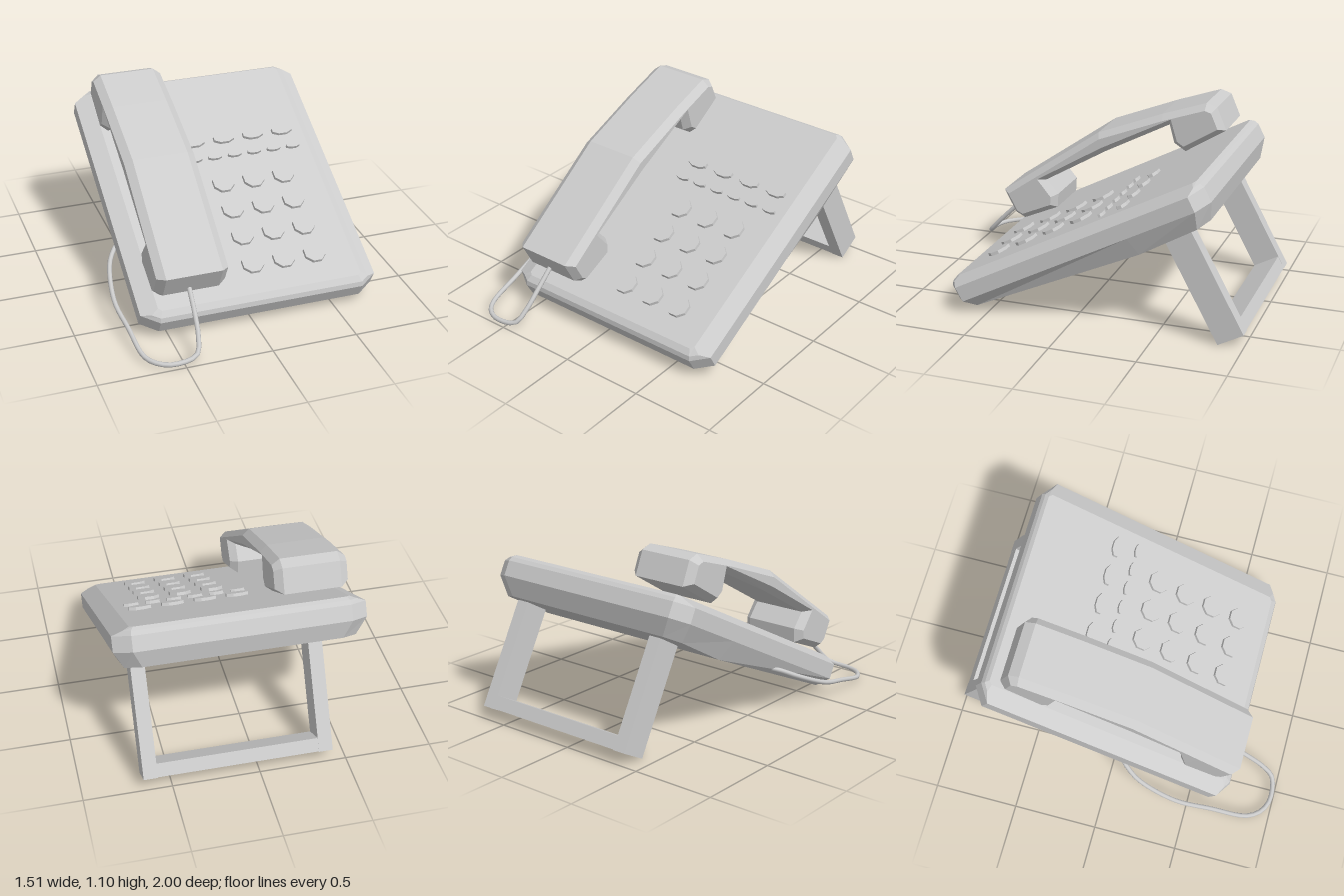
import * as THREE from 'three';

const mat = new THREE.MeshStandardMaterial({ color: 0xcccccc, flatShading: true });
const cordMat = new THREE.MeshStandardMaterial({ color: 0xcccccc });
const TILT = 0.48; // slope of the desk set

function add(parent, name, geometry, x = 0, y = 0, z = 0, material = mat) {
  const mesh = new THREE.Mesh(geometry, material);
  mesh.name = name;
  mesh.position.set(x, y, z);
  parent.add(mesh);
  return mesh;
}

// Cut-corner rectangle of ten points, counter-clockwise from above
function ring(half, front, back, cutX, cutZ, height) {
  const right = [
    [half - cutX, front], [half, front - cutZ], [half, -0.594], [half, back + cutZ], [half - cutX, back],
  ].map(([x, z]) => [x, height(z), z]);
  return [...right, ...right.map(([x, y, z]) => [-x, y, z]).reverse()];
}

// Skin stacked rings and close both ends with strips across the width
function loft(rings) {
  const n = rings[0].length, pos = rings.flat(2), idx = [];
  const top = (rings.length - 1) * n;
  for (let r = 0; r < rings.length - 1; r++) {
    for (let i = 0; i < n; i++) {
      const j = (i + 1) % n, a = r * n, b = a + n;
      idx.push(a + i, a + j, b + j, a + i, b + j, b + i);
    }
  }
  for (let i = 0; i < n / 2 - 1; i++) {
    const p = i + 1, q = n - 2 - i, m = n - 1 - i;
    idx.push(top + i, top + p, top + q, top + i, top + q, top + m);
    idx.push(i, q, p, i, m, q);
  }
  const g = new THREE.BufferGeometry();
  g.setAttribute('position', new THREE.Float32BufferAttribute(pos, 3));
  g.setIndex(idx);
  const flat = g.toNonIndexed();
  flat.computeVertexNormals();
  return flat;
}

// Low octagonal button with flat sides facing the axes
function button(parent, name, x, s, halfW, halfD) {
  const g = new THREE.CylinderGeometry(1, 1.04, 0.026, 8);
  g.rotateY(Math.PI / 8);
  g.scale(halfW / Math.cos(Math.PI / 8), 1, halfD / Math.cos(Math.PI / 8));
  add(parent, name, g, x, 0.5, -s);
}

function makeBase() {
  const base = new THREE.Group();
  base.name = 'base';
  base.rotation.x = TILT;
  // underside has a shallow kink toward the back
  const under = z => (z > -0.594
    ? 0.243 + 0.06 * (z + 0.594) / 1.124
    : 0.243 + 0.019 * (-0.594 - z) / 0.43);
  add(base, 'baseShell', loft([
    ring(0.65, 0.53, -1.025, 0.09, 0.06, under),
    ring(0.7075, 0.58, -1.09, 0.1, 0.07, () => 0.362),
    ring(0.7075, 0.583, -1.09, 0.1, 0.07, () => 0.452),
    ring(0.65, 0.567, -1.078, 0.045, 0.03, () => 0.477),
    ring(0.61, 0.53, -1.06, 0.02, 0.02, () => 0.495),
  ]), 0.0475);

  // number keys
  for (const s of [0.24, 0.05, -0.14, -0.335]) {
    for (const x of [0.05, 0.24, 0.43]) button(base, 'numberKey', x, s, 0.061, 0.061);
  }
  // two rows of function keys
  for (let i = 0; i < 4; i++) button(base, 'largeFunctionKey', -0.038 + i * 0.188, 0.56, 0.062, 0.032);
  for (let i = 0; i < 6; i++) button(base, 'smallFunctionKey', -0.067 + i * 0.125, 0.432, 0.041, 0.016);
  return base;
}

// Handset side profile as [z, y], extruded across the width with a chamfer
function makeHandset() {
  const profile = [
    [0.764, 0.426], [0.142, 0.86], [-0.26, 1.016], [-0.528, 1.107], [-0.592, 1.086],
    [-0.65, 0.952], [-0.405, 0.8], [-0.335, 0.845], [-0.305, 0.955], [0.094, 0.748],
    [0.48, 0.523], [0.405, 0.437], [0.41, 0.351], [0.63, 0.255], [0.69, 0.287],
  ];
  const shape = new THREE.Shape(profile.map(([z, y]) => new THREE.Vector2(-z, y)));
  const g = new THREE.ExtrudeGeometry(shape, {
    depth: 0.325, bevelEnabled: true, bevelSegments: 1,
    bevelThickness: 0.045, bevelSize: 0.034, bevelOffset: -0.034,
  });
  g.rotateY(Math.PI / 2);
  g.translate(-0.535, 0, 0);
  return g;
}

// Two legs joined by a crossbar at the foot
function makeStand() {
  const stand = new THREE.Group();
  stand.name = 'stand';
  stand.position.set(0, 0.043, -0.9275);
  stand.rotation.x = 0.497;
  for (const x of [-0.38, 0.62]) add(stand, 'standLeg', new THREE.BoxGeometry(0.08, 0.7, 0.165), x, 0.35, 0);
  add(stand, 'standCrossbar', new THREE.BoxGeometry(0.92, 0.078, 0.163), 0.12, 0.042, 0);
  return stand;
}

export function createModel() {
  const model = new THREE.Group();
  model.name = 'deskTelephone';
  model.add(makeBase(), makeStand());
  add(model, 'handset', makeHandset());

  // cord loops from the mouthpiece round to the side of the base
  const path = new THREE.CatmullRomCurve3([
    [-0.385, 0.34, 0.67], [-0.39, 0.21, 0.81], [-0.4, 0.12, 0.9], [-0.43, 0.05, 0.965],
    [-0.56, 0.03, 0.985], [-0.645, 0.03, 0.95], [-0.7, 0.035, 0.87], [-0.725, 0.085, 0.65],
    [-0.745, 0.14, 0.43], [-0.705, 0.24, 0.195], [-0.655, 0.285, 0.11], [-0.6, 0.31, 0.05],
  ].map(p => new THREE.Vector3(...p)));
  add(model, 'cord', new THREE.TubeGeometry(path, 40, 0.014, 8), 0, 0, 0, cordMat);
  return model;
}
